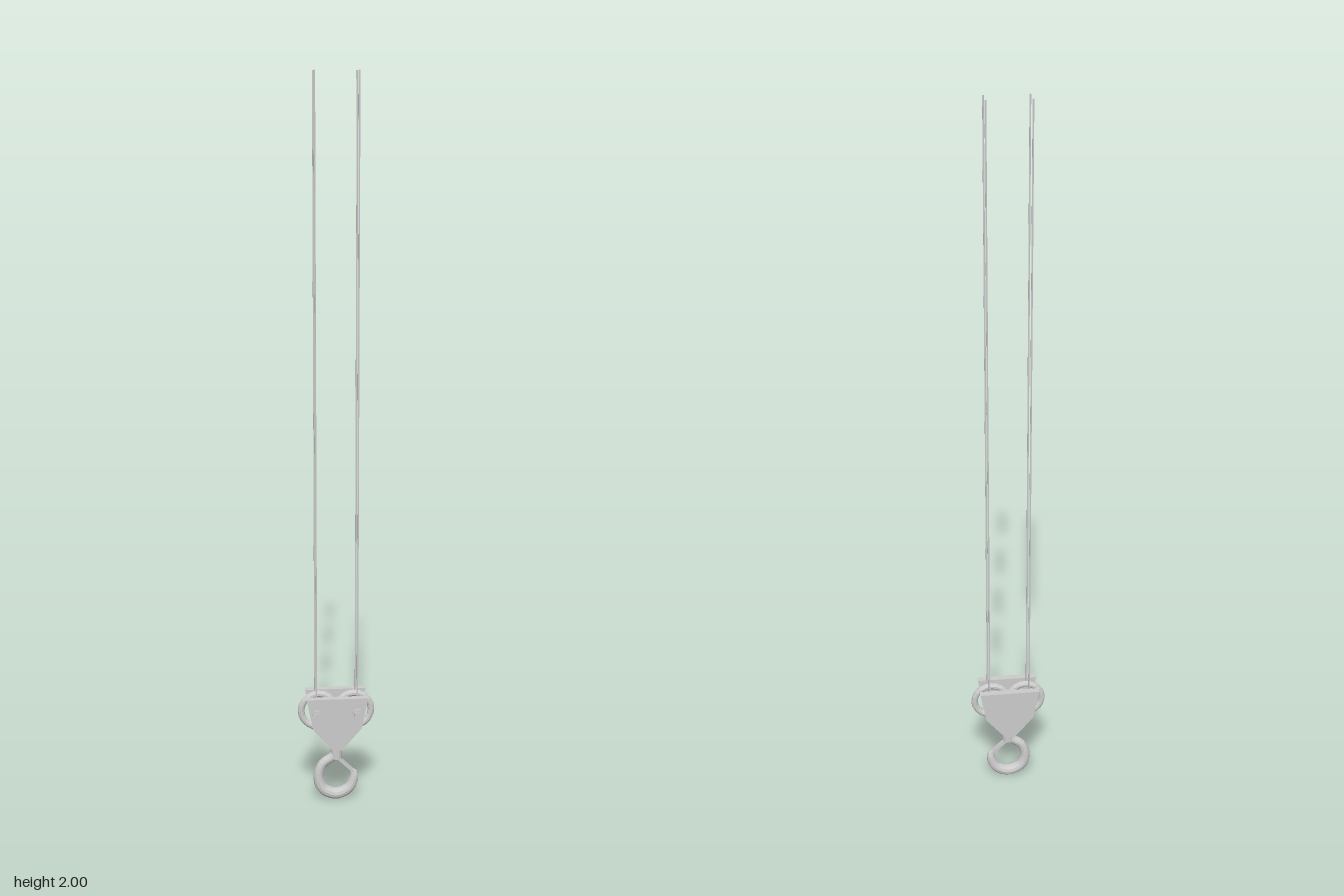
import * as THREE from 'three';

const material = new THREE.MeshStandardMaterial({ color: 0xcccccc, flatShading: true });

function add(parent, name, geometry, x = 0, y = 0, z = 0) {
  const mesh = new THREE.Mesh(geometry, material);
  mesh.name = name;
  mesh.position.set(x, y, z);
  parent.add(mesh);
  return mesh;
}

// Tube along points [x, y, radius], its thickness following the radii
function taperedTube(points, segments, sides) {
  const path = new THREE.CatmullRomCurve3(points.map(([x, y]) => new THREE.Vector3(x, y, 0)));
  const radii = new THREE.CatmullRomCurve3(points.map(([, , r], i) => new THREE.Vector3(i, r, 0)));
  const geometry = new THREE.TubeGeometry(path, segments, 1, sides);
  const position = geometry.attributes.position;
  const vertex = new THREE.Vector3();
  for (let i = 0; i <= segments; i++) {
    const u = path.getUtoTmapping(i / segments);
    const centre = path.getPoint(u);
    const radius = radii.getPoint(u).y;
    for (let j = 0; j <= sides; j++) {
      const k = i * (sides + 1) + j;
      vertex.fromBufferAttribute(position, k).sub(centre).multiplyScalar(radius).add(centre);
      position.setXYZ(k, vertex.x, vertex.y, vertex.z);
    }
  }
  geometry.computeVertexNormals();
  return geometry;
}

// Cheek plate with two bolts on its front face
function cheekPlate(name, z) {
  const group = new THREE.Group();
  group.name = name;
  group.position.z = z;
  const right = [[0.085, 0.32], [0.068, 0.232], [0.013, 0.167]];
  const outline = [...right, ...right.map(([x, y]) => [-x, y]).reverse()];
  const shape = new THREE.Shape(outline.map(([x, y]) => new THREE.Vector2(x, y)));
  const plate = new THREE.ExtrudeGeometry(shape, { depth: 0.019, bevelEnabled: false });
  add(group, 'plate', plate, 0, 0, -0.0095);
  for (const side of [-1, 1]) {
    const washer = new THREE.CylinderGeometry(0.015, 0.015, 0.006, 12).rotateX(Math.PI / 2);
    add(group, 'boltWasher', washer, side * 0.056, 0.275, 0.0125);
    const head = new THREE.CylinderGeometry(0.01, 0.01, 0.006, 6).rotateX(Math.PI / 2);
    add(group, 'boltHead', head, side * 0.056, 0.275, 0.0183);
  }
  return group;
}

export function createModel() {
  const model = new THREE.Group();
  model.name = 'craneHook';
  const block = new THREE.Group();
  block.name = 'hookBlock';
  block.rotation.y = -0.607;
  model.add(block);

  block.add(cheekPlate('frontCheek', 0.037), cheekPlate('backCheek', -0.037));

  for (const side of [-1, 1]) {
    // Two hoisting ropes on each side
    for (const z of [-0.0275, 0.0275]) {
      add(block, 'rope', new THREE.CylinderGeometry(0.0024, 0.0024, 1.73, 6), side * 0.057, 1.135, z);
    }
    // Ring and the arm joining it to the shank
    add(block, 'ring', new THREE.TorusGeometry(0.049, 0.0095, 10, 20), side * 0.049, 0.27, 0);
    add(block, 'arm', taperedTube([
      [0, 0.185, 0.014], [side * 0.025, 0.202, 0.017],
      [side * 0.048, 0.22, 0.016], [side * 0.076, 0.231, 0.009],
    ], 8, 10));
  }

  // Shank with its collar
  add(block, 'shank', new THREE.CylinderGeometry(0.016, 0.016, 0.07, 12), 0, 0.16, 0);
  add(block, 'collar', new THREE.CylinderGeometry(0.02, 0.02, 0.022, 6), 0, 0.192, 0);

  // Hook, thickest at the bottom, with a closed tip
  add(block, 'hook', taperedTube([
    [0, 0.14, 0.014], [-0.012, 0.127, 0.013], [-0.038, 0.108, 0.013], [-0.05, 0.07, 0.0145],
    [-0.038, 0.033, 0.016], [0, 0.016, 0.016], [0.037, 0.033, 0.015],
    [0.051, 0.066, 0.0125], [0.05, 0.082, 0.009], [0.047, 0.091, 0.0005],
  ], 28, 12));

  // Safety latch from shank to tip
  const latch = add(block, 'latch', new THREE.BoxGeometry(0.007, 0.07, 0.016), 0.027, 0.104, 0);
  latch.rotation.z = 0.8;

  return model;
}
